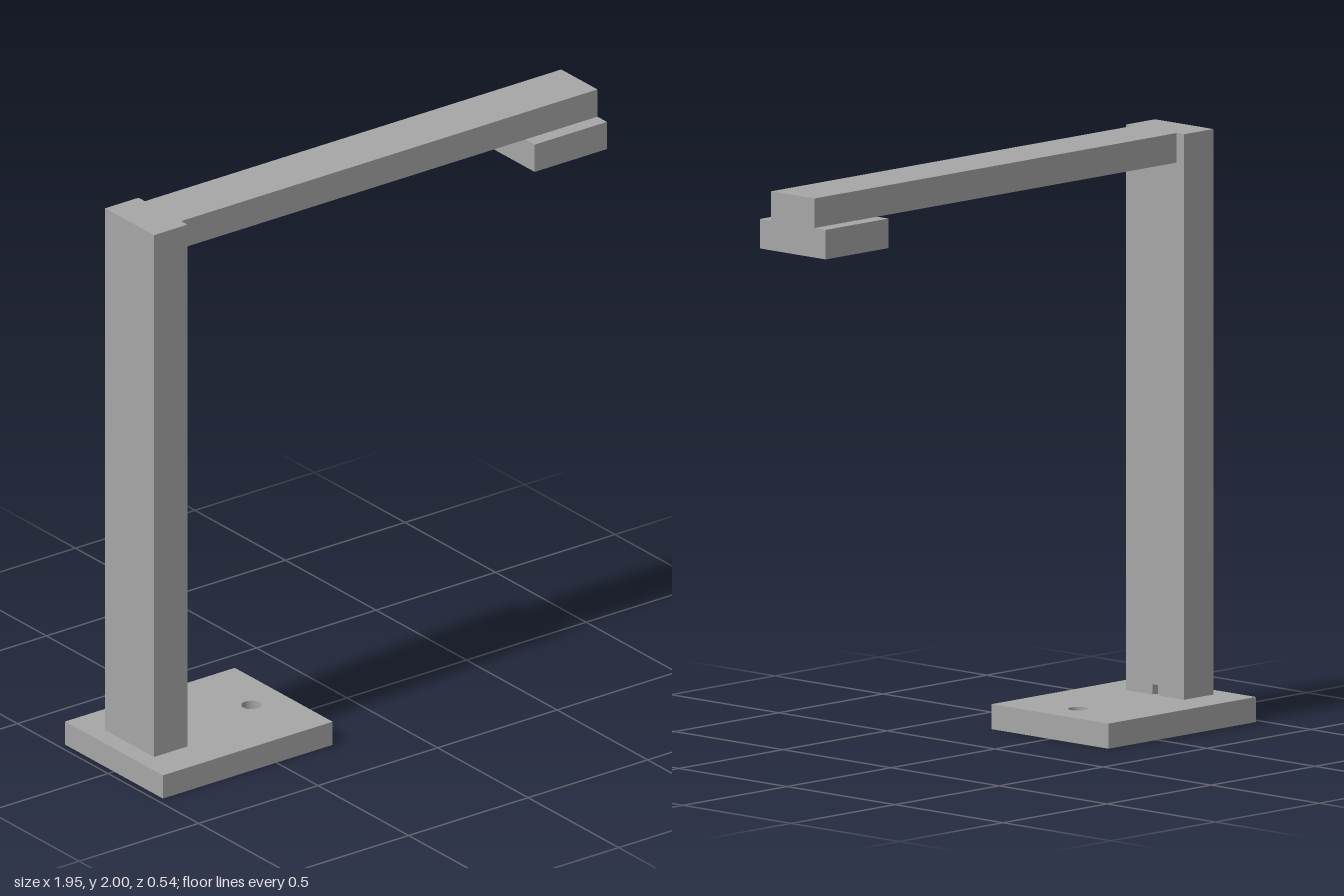
import * as THREE from 'three';

const POST = { x0: -0.91, x1: -0.77, z: 0.135 };
const BORE = { x: -0.82, r: 0.034 };
const BASE_TOP = 0.085, SLOT_TOP = 0.12, SLOT_HALF = 0.013;

// Rectangle in plan, from x0 to x1 and mirrored about z = 0
function plan(Type, x0, x1, halfZ) {
  return new Type([[x0, -halfZ], [x1, -halfZ], [x1, halfZ], [x0, halfZ]]
    .map(([x, z]) => new THREE.Vector2(x, z)));
}

function roundHole(x, r) {
  const path = new THREE.Path();
  path.absarc(x, 0, r, 0, Math.PI * 2, true);
  return path;
}

// Raises a plan outline from y0 to y1
function slab(name, shape, y0, y1, material) {
  const geometry = new THREE.ExtrudeGeometry(shape, {
    depth: y1 - y0, bevelEnabled: false, curveSegments: 24,
  });
  geometry.rotateX(-Math.PI / 2).translate(0, y0, 0);
  const mesh = new THREE.Mesh(geometry, material);
  mesh.name = name;
  return mesh;
}

export function createModel() {
  const grey = new THREE.MeshStandardMaterial({ color: 0xa6a6a6 });
  grey.name = 'grey';
  const model = new THREE.Group();
  model.name = 'deskLamp';

  // Base plate with a screw hole and a cable hole under the post
  const base = plan(THREE.Shape, -0.975, -0.265, 0.27);
  base.holes.push(roundHole(-0.4, 0.034), roundHole(BORE.x, BORE.r));
  model.add(slab('basePlate', base, 0, BASE_TOP, grey));

  // Foot of the post, with a narrow cable slot running into the hole
  const foot = new THREE.Shape();
  const angle = Math.asin(SLOT_HALF / BORE.r);
  foot.moveTo(POST.x0, -POST.z);
  foot.lineTo(POST.x1, -POST.z);
  foot.lineTo(POST.x1, -SLOT_HALF);
  foot.absarc(BORE.x, 0, BORE.r, -angle, angle, true);
  foot.lineTo(POST.x1, SLOT_HALF);
  foot.lineTo(POST.x1, POST.z);
  foot.lineTo(POST.x0, POST.z);
  foot.closePath();
  model.add(slab('postFoot', foot, BASE_TOP, SLOT_TOP, grey));

  // Post and horizontal arm
  model.add(slab('post', plan(THREE.Shape, POST.x0, POST.x1, POST.z), SLOT_TOP, 2, grey));
  model.add(slab('arm', plan(THREE.Shape, POST.x1, 0.972, 0.1), 1.9, 2, grey));

  // Lamp head with a rectangular pocket open underneath
  const head = plan(THREE.Shape, 0.67, 0.972, 0.152);
  head.holes.push(plan(THREE.Path, 0.725, 0.917, 0.08));
  model.add(slab('lampHead', head, 1.8, 1.9, grey));

  return model;
}
